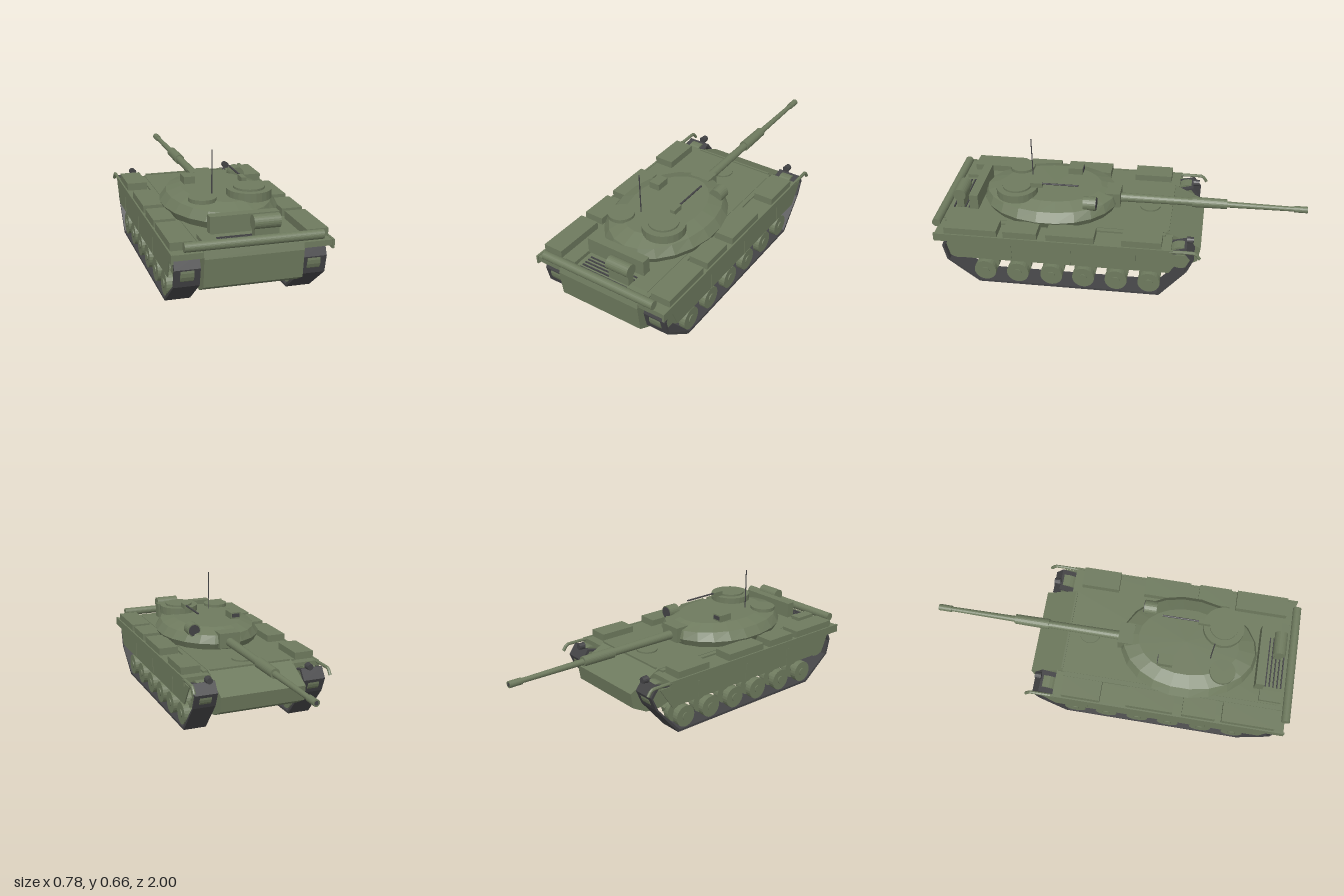
import * as THREE from 'three';

export function createModel() {
  const model = new THREE.Group();
  const green = new THREE.MeshStandardMaterial({ name: 'olive paint', color: 0x6e7a5e, flatShading: true });
  const dark = new THREE.MeshStandardMaterial({ name: 'track rubber', color: 0x434345, flatShading: true });

  function add(name, geo, mat, x = 0, y = 0, z = 0) {
    const mesh = new THREE.Mesh(geo, mat);
    mesh.name = name;
    mesh.position.set(x, y, z);
    model.add(mesh);
    return mesh;
  }
  // Box from its min/max limits
  const box = (name, x0, x1, y0, y1, z0, z1, mat = green) =>
    add(name, new THREE.BoxGeometry(x1 - x0, y1 - y0, z1 - z0), mat, (x0 + x1) / 2, (y0 + y1) / 2, (z0 + z1) / 2);
  // Cylinder along a chosen axis; the top radius lies towards +axis
  function cyl(name, axis, rTop, rBottom, len, x, y, z, mat = green, sides = 24) {
    const geo = new THREE.CylinderGeometry(rTop, rBottom, len, sides);
    if (axis === 'x') geo.rotateZ(-Math.PI / 2);
    if (axis === 'z') geo.rotateX(Math.PI / 2);
    return add(name, geo, mat, x, y, z);
  }
  // Side profile given as [z, y], extruded across x and centred
  function profile(name, points, width, x, mat, hole) {
    const toVec = ([z, y]) => new THREE.Vector2(z, y);
    const shape = new THREE.Shape(points.map(toVec));
    if (hole) shape.holes.push(new THREE.Path(hole.map(toVec)));
    const geo = new THREE.ExtrudeGeometry(shape, { depth: width, bevelEnabled: false });
    geo.translate(0, 0, -width / 2).rotateY(-Math.PI / 2);
    return add(name, geo, mat, x);
  }

  // Hull
  profile('hull', [[0.9, 0.1], [0.97, 0.14], [0.985, 0.28], [0.975, 0.318], [0.9, 0.325], [-0.26, 0.325],
    [-0.44, 0.235], [-0.425, 0.15], [-0.34, 0.105], [-0.3, 0.1]], 0.48, 0, green);
  box('splashBoard', -0.23, 0.23, 0.322, 0.332, -0.268, -0.258);
  cyl('driverHatch', 'y', 0.057, 0.057, 0.012, 0, 0.328, -0.145);

  // Running gear, mirrored on both sides
  const trackOuter = [[0.756, 0], [0.925, 0.135], [0.945, 0.225], [0.92, 0.28], [-0.28, 0.28],
    [-0.37, 0.305], [-0.41, 0.25], [-0.375, 0.17], [-0.23, 0]];
  const trackInner = trackOuter.map(([z, y]) => [(z - 0.27) * 0.98 + 0.27, (y - 0.15) * 0.92 + 0.15]);
  for (const s of [-1, 1]) {
    const side = s > 0 ? 'left' : 'right';
    const sbox = (name, x0, x1, ...rest) =>
      s > 0 ? box(side + name, x0, x1, ...rest) : box(side + name, -x1, -x0, ...rest);

    profile(side + 'Track', trackOuter, 0.125, s * 0.307, dark, trackInner);
    for (const z of [0.72, 0.54, 0.355, 0.18, 0.003, -0.175]) {
      cyl(side + 'RoadWheel', 'x', 0.06, 0.06, 0.035, s * 0.347, 0.074, z);
      cyl(side + 'InnerWheel', 'x', 0.06, 0.06, 0.035, s * 0.272, 0.074, z);
      cyl(side + 'WheelHub', 'x', 0.022, 0.022, 0.13, s * 0.305, 0.074, z, green, 16);
      const arm = sbox('SwingArm', 0.235, 0.265, 0.08, 0.115, z - 0.06, z + 0.02);
      arm.rotation.x = -0.3;
    }
    cyl(side + 'Idler', 'x', 0.079, 0.079, 0.065, s * 0.307, 0.207, 0.866);
    cyl(side + 'Sprocket', 'x', 0.067, 0.067, 0.065, s * 0.307, 0.238, -0.336);

    // Fender, skirt and stowage bins
    sbox('Fender', 0.235, 0.388, 0.284, 0.312, -0.29, 0.975);
    sbox('FenderTrim', 0.38, 0.391, 0.27, 0.315, -0.3, 0.98);
    sbox('DeckStrip', 0.235, 0.265, 0.31, 0.322, -0.25, 0.95);
    profile(side + 'Skirt', [[0.91, 0.285], [0.86, 0.165], [-0.28, 0.165], [-0.36, 0.285]], 0.006, s * 0.379, green);
    for (const z of [0.565, 0.245, -0.1]) sbox('SkirtSeam', 0.38, 0.385, 0.17, 0.265, z - 0.005, z + 0.005);
    for (const [z0, z1] of [[-0.24, -0.03], [0.115, 0.37], [0.42, 0.6], [0.635, 0.92]]) {
      sbox('StowageBin', 0.275, 0.383, 0.312, 0.352, z0, z1);
    }

    // Front guard rail and headlight
    const rail = new THREE.CatmullRomCurve3([[-0.28, 0.305], [-0.38, 0.306], [-0.415, 0.303], [-0.44, 0.272]]
      .map(([z, y]) => new THREE.Vector3(s * 0.383, y, z)));
    add(side + 'FrontRail', new THREE.TubeGeometry(rail, 12, 0.009, 8), green);
    cyl(side + 'Headlight', 'z', 0.02, 0.017, 0.035, s * 0.285, 0.318, -0.385, dark, 12);
  }

  // Engine deck and rear stowage
  cyl('rearLog', 'x', 0.023, 0.023, 0.665, 0, 0.345, 0.975);
  box('turretRack', -0.17, 0.17, 0.34, 0.425, 0.785, 0.833);
  cyl('rolledTarp', 'x', 0.035, 0.035, 0.13, 0.08, 0.405, 0.895);
  box('tarpCradle', 0.02, 0.14, 0.32, 0.385, 0.875, 0.915);
  box('toolBox', -0.23, -0.17, 0.32, 0.345, 0.82, 0.94);
  for (let i = 0; i < 5; i++) {
    const z = 0.845 + i * 0.021;
    box('engineGrille', -0.145, 0.14, 0.322, 0.33, z, z + 0.007, dark);
  }

  // Turret built from scaled oval rings: [height, width scale, length scale]
  const rings = [[0.322, 0.93, 0.93], [0.362, 1, 0.99], [0.408, 0.88, 0.95], [0.435, 0.64, 0.72]];
  const n = 22;
  const pos = [], index = [];
  for (const [y, sx, sz] of rings) {
    for (let i = 0; i < n; i++) {
      const a = (i / n) * Math.PI * 2, c = Math.cos(a);
      pos.push(Math.sin(a) * 0.293 * sx, y, 0.385 + c * sz * (c > 0 ? 0.4 : 0.36));
    }
  }
  for (let r = 0; r < rings.length - 1; r++) {
    for (let i = 0; i < n; i++) {
      const a = r * n + i, b = r * n + (i + 1) % n;
      index.push(a, b, b + n, a, b + n, a + n);
    }
  }
  pos.push(0, 0.438, 0.385);
  const top = (rings.length - 1) * n;
  for (let i = 0; i < n; i++) index.push(top + i, top + (i + 1) % n, rings.length * n);
  const turret = new THREE.BufferGeometry();
  turret.setAttribute('position', new THREE.Float32BufferAttribute(pos, 3));
  turret.setIndex(index);
  turret.computeVertexNormals();
  add('turret', turret, green);

  // Gun
  box('mantlet', -0.06, 0.06, 0.34, 0.425, 0.018, 0.1);
  cyl('gunBase', 'z', 0.025, 0.021, 0.42, 0, 0.372, -0.17);
  cyl('boreEvacuator', 'z', 0.029, 0.027, 0.19, 0, 0.372, -0.47);
  cyl('barrel', 'z', 0.017, 0.013, 0.4, 0, 0.37, -0.75);
  cyl('muzzle', 'z', 0.018, 0.018, 0.072, 0, 0.37, -0.964);
  cyl('muzzleBore', 'z', 0.011, 0.011, 0.002, 0, 0.37, -0.9995, dark, 16);

  // Turret fittings
  cyl('cupola', 'y', 0.112, 0.112, 0.045, 0.107, 0.448, 0.575);
  cyl('cupolaHatch', 'y', 0.078, 0.078, 0.012, 0.107, 0.475, 0.575);
  box('machineGun', 0.094, 0.119, 0.472, 0.499, 0.435, 0.5);
  cyl('machineGunBarrel', 'z', 0.005, 0.005, 0.2, 0.107, 0.493, 0.338, dark, 8);
  cyl('loaderHatch', 'y', 0.069, 0.069, 0.02, -0.14, 0.441, 0.6);
  box('sight', -0.16, -0.1, 0.43, 0.473, 0.25, 0.33);
  box('sightGlass', -0.152, -0.108, 0.445, 0.466, 0.246, 0.25, dark);
  cyl('searchlight', 'z', 0.038, 0.038, 0.068, 0.17, 0.428, 0.166);
  cyl('searchlightLens', 'z', 0.032, 0.032, 0.004, 0.17, 0.428, 0.131, dark);
  cyl('antenna', 'y', 0.003, 0.003, 0.23, -0.07, 0.547, 0.527, dark, 8);

  return model;
}
